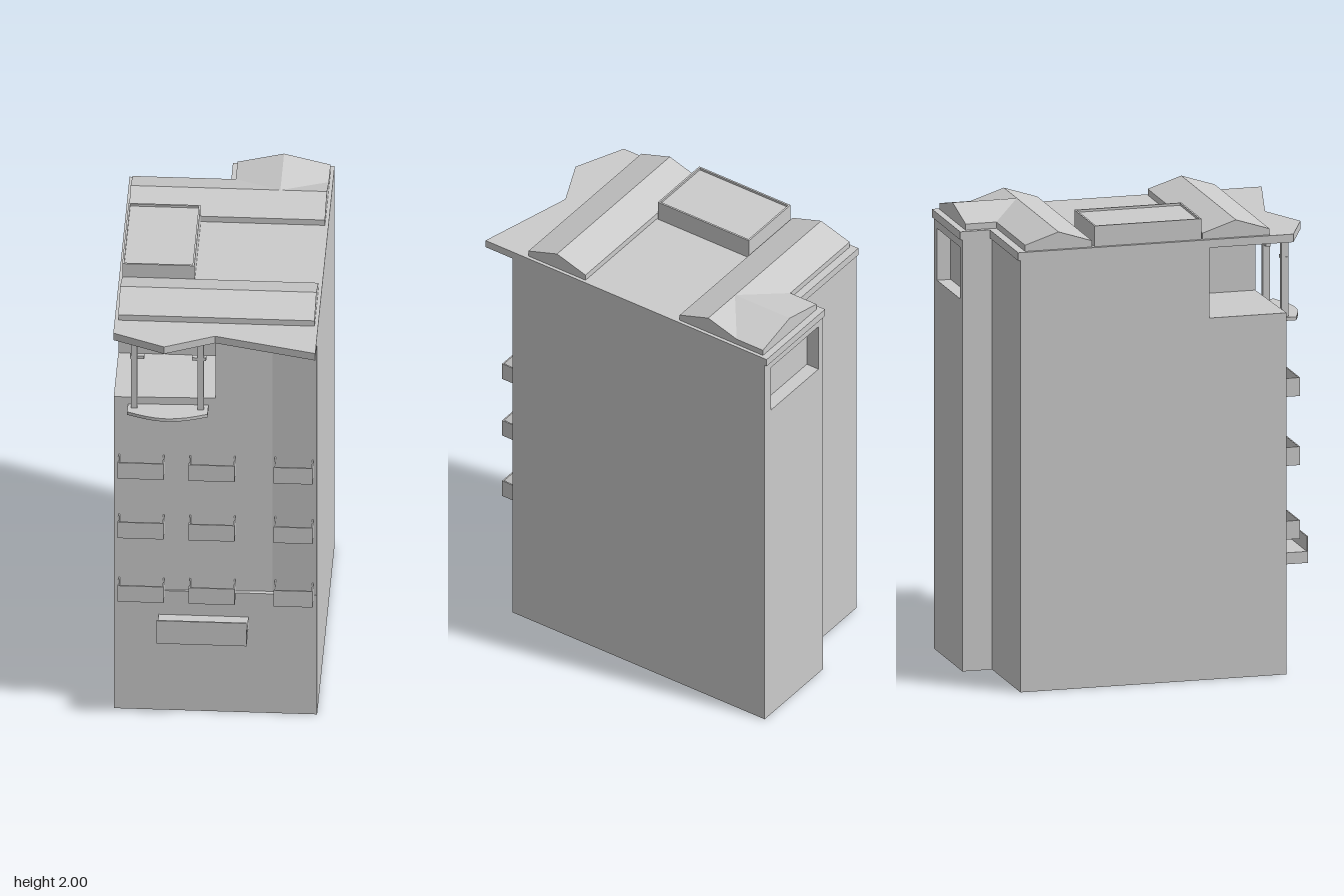
import * as THREE from 'three';

const mat = new THREE.MeshStandardMaterial({ color: 0xcccccc, side: THREE.DoubleSide, flatShading: true });

export function createModel() {
  const model = new THREE.Group();

  const add = (name, geometry, parent = model) => {
    const mesh = new THREE.Mesh(geometry, mat);
    mesh.name = name;
    parent.add(mesh);
    return mesh;
  };
  const shapeOf = (pts) => new THREE.Shape(pts.map(([a, b]) => new THREE.Vector2(a, b)));

  // Box given by its extents
  const box = (name, x0, x1, y0, y1, z0, z1, parent) => {
    const g = new THREE.BoxGeometry(x1 - x0, y1 - y0, z1 - z0);
    g.translate((x0 + x1) / 2, (y0 + y1) / 2, (z0 + z1) / 2);
    return add(name, g, parent);
  };
  // Solid slab from an [x, z] plan
  const slab = (name, plan, y0, y1) => {
    const g = new THREE.ExtrudeGeometry(shapeOf(plan.map(([x, z]) => [x, -z])), { depth: y1 - y0, bevelEnabled: false });
    g.rotateX(-Math.PI / 2).translate(0, y0, 0);
    return add(name, g);
  };
  // Open vertical walls along an [x, z] path
  const walls = (name, path, y0, y1) => {
    const pos = [];
    for (let i = 0; i < path.length - 1; i++) {
      const [ax, az] = path[i], [bx, bz] = path[i + 1];
      pos.push(ax, y0, az, bx, y0, bz, bx, y1, bz, ax, y0, az, bx, y1, bz, ax, y1, az);
    }
    const g = new THREE.BufferGeometry();
    g.setAttribute('position', new THREE.Float32BufferAttribute(pos, 3));
    g.computeVertexNormals();
    return add(name, g);
  };

  // Main walls, hollow and open below, with a shallow fold in the front;
  // the top front corner is cut away for a loggia
  const W = 0.43, F = 0.58, B = -0.72, STEP = -0.59, TOP = 1.88, FLOOR = 1.57;
  const fold = [0.24, 0.56];
  const foldAt0 = F - 0.02 * (W / (W + 0.24));
  walls('lowerWalls', [[W, B], [W, F], fold, [-W, F], [-W, STEP], [0, STEP], [0, B]], 0, FLOOR);
  walls('upperWalls', [[W, B], [W, F], fold, [0, foldAt0], [0, 0.24], [-W, 0.24], [-W, STEP], [0, STEP], [0, B]], FLOOR, TOP);
  slab('loggiaFloor', [[-W, 0.24], [0, 0.24], [0, foldAt0], [-W, F]], FLOOR - 0.005, FLOOR);
  slab('frontPlinth', [[-W, F], fold, [W, F]], 0, 0.6);

  // Back wall with a recessed window
  const win = [[0.035, 1.61], [0.385, 1.61], [0.385, 1.835], [0.035, 1.835]];
  const backShape = shapeOf([[0, 0], [W, 0], [W, TOP], [0, TOP]]);
  backShape.holes.push(new THREE.Path(win.map(([x, y]) => new THREE.Vector2(x, y))));
  add('backWall', new THREE.ShapeGeometry(backShape).translate(0, 0, B));
  const reveal = new THREE.BoxGeometry(0.35, 0.225, 0.06);
  // Keep every side of the recess except the one facing outwards
  reveal.setIndex(Array.from(reveal.index.array).slice(0, 30));
  add('windowRecess', reveal.translate(0.21, 1.7225, B + 0.03));

  // Roof slab with pointed front eaves
  slab('roofSlab', [[-W, -0.6], [0, -0.6], [0, -0.73], [W, -0.73], [W, 0.72], [0, 0.61], [-0.21, 0.705], [-W, 0.61]], TOP - 0.005, 1.91);

  // Low gabled ridges across the roof
  const gable = (c, half) => shapeOf([[c - half, 1.905], [c + half, 1.905], [c + half, 1.937], [c, 1.985], [c - half, 1.937]]);
  for (const z of [0.362, -0.418]) {
    const g = new THREE.ExtrudeGeometry(gable(z, 0.147), { depth: 0.83, bevelEnabled: false });
    add('roofRidge', g.rotateY(-Math.PI / 2).translate(0.415, 0, 0));
  }
  const cross = new THREE.ExtrudeGeometry(gable(0.218, 0.197), { depth: 0.282, bevelEnabled: false });
  add('rearCrossGable', cross.translate(0, 0, -0.7));

  // Rooftop hut with a thin raised rim
  const hut = new THREE.Group();
  hut.name = 'rooftopHut';
  model.add(hut);
  box('hutBody', -0.415, -0.11, 1.905, 1.99, -0.26, 0.21, hut);
  for (const x of [-0.415, -0.118]) box('hutRimSide', x, x + 0.008, 1.985, 2, -0.26, 0.21, hut);
  for (const z of [-0.26, 0.202]) box('hutRimEnd', -0.415, -0.11, 1.985, 2, z, z + 0.008, hut);

  // Open-topped window balconies: three floors of three
  const T = 0.006;
  for (const y of [0.58, 0.9, 1.2]) {
    for (const [x0, x1] of [[-0.41, -0.215], [-0.11, 0.085], [0.25, 0.415]]) {
      const balcony = new THREE.Group();
      balcony.name = 'balcony';
      model.add(balcony);
      box('balconyFront', x0, x1, y, y + 0.08, 0.645 - T, 0.645, balcony);
      box('balconyFloor', x0, x1, y, y + T, 0.56, 0.645, balcony);
      for (const x of [x0, x1 - T]) box('balconySide', x, x + T, y, y + 0.08, 0.56, 0.645, balcony);
    }
  }

  // Entrance canopy with an upright front panel
  box('canopySlab', -0.24, 0.14, 0.43, 0.48, 0.57, 0.73);
  box('canopyPanel', -0.24, 0.14, 0.43, 0.545, 0.724, 0.73);

  // Bowed ledge below the loggia
  const ledge = [[-0.03, 0.56], [-0.37, 0.56]];
  for (let i = 0; i <= 8; i++) {
    const t = i / 8;
    ledge.push([-0.37 + 0.34 * t, 0.64 + 0.045 * Math.sin(Math.PI * t)]);
  }
  slab('loggiaLedge', ledge, 1.52, 1.535);

  // Loggia posts with small collars
  for (const [x, c] of [[-0.342, -0.33], [-0.061, -0.068]]) {
    box('loggiaPost', x - 0.013, x + 0.013, 1.53, TOP, 0.58, 0.61);
    box('postCollar', c - 0.03, c + 0.03, 1.78, 1.795, 0.585, 0.605);
  }

  return model;
}
